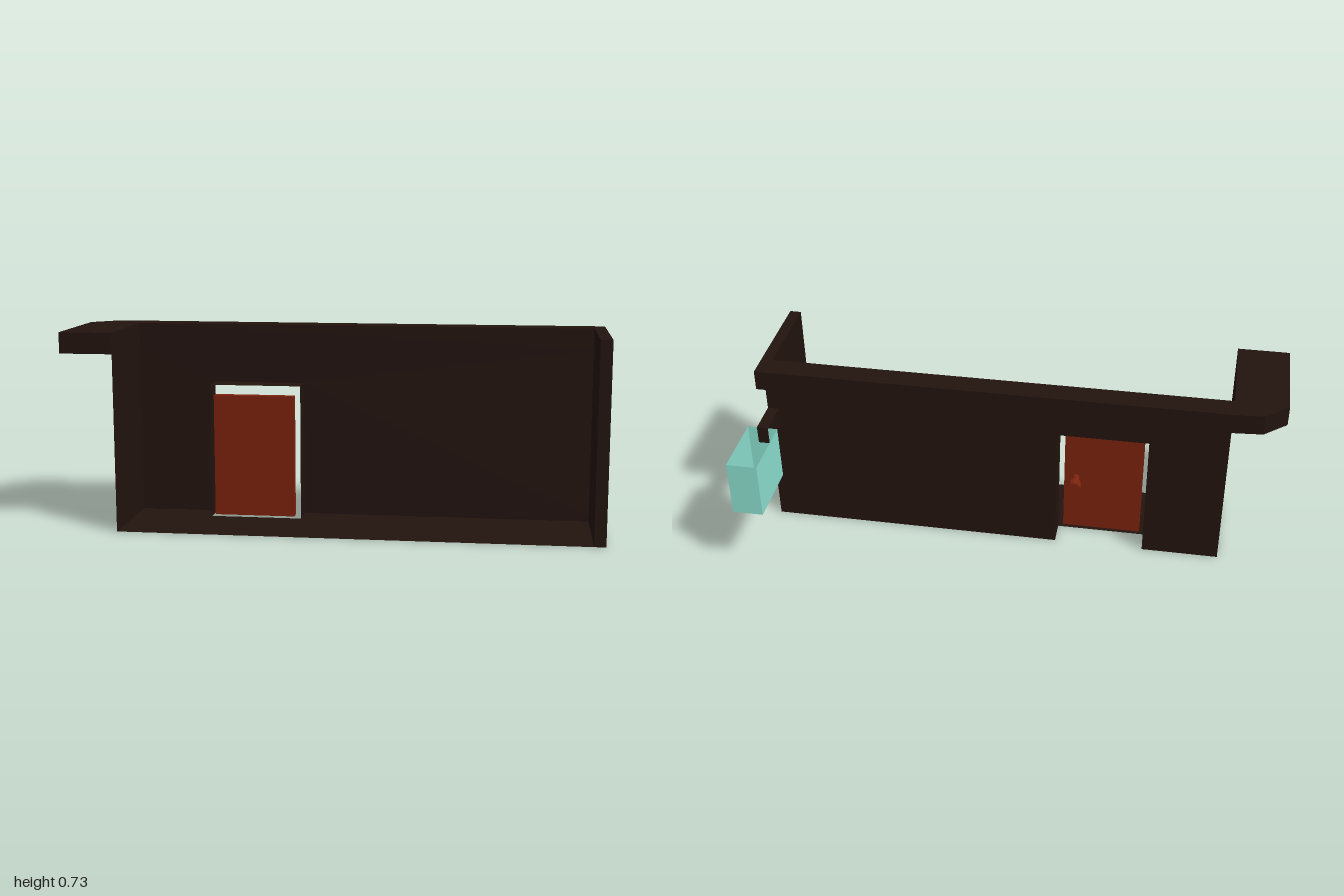
import * as THREE from 'three';

const mat = (color, side = THREE.FrontSide) => new THREE.MeshStandardMaterial({ color, side, flatShading: true });

export function createModel() {
  const root = new THREE.Group();
  root.name = 'barCounter';
  const wood = mat(0x22130e), panel = mat(0x22130e, THREE.DoubleSide);
  const doorRed = mat(0x7c220e), mint = mat(0x8ce0d0, THREE.DoubleSide);

  const add = (name, geometry, material, parent = root) => {
    const mesh = new THREE.Mesh(geometry, material);
    mesh.name = name;
    parent.add(mesh);
    return mesh;
  };
  // Box given by its limits on each axis
  const box = (name, [x0, x1], [y0, y1], [z0, z1], material, parent) => {
    const g = new THREE.BoxGeometry(x1 - x0, y1 - y0, z1 - z0);
    g.translate((x0 + x1) / 2, (y0 + y1) / 2, (z0 + z1) / 2);
    return add(name, g, material, parent);
  };
  const outline = (points) => new THREE.Shape(points.map(([x, y]) => new THREE.Vector2(x, y)));
  // Plan outlines are listed as [x, z]
  const plan = (points) => outline(points.map(([x, z]) => [x, -z]));

  const L = -0.805, R = 0.965, B = 0.008, F = 0.375; // body limits
  const dL = -0.51, dR = -0.165, dTop = 0.51, dIn = 0.1; // doorway limits
  const under = 0.655, top = 0.732;

  // Thin back wall with doorway
  const wall = new THREE.ShapeGeometry(outline([
    [L, 0], [dL, 0], [dL, dTop], [dR, dTop], [dR, 0], [R, 0], [R, under], [L, under],
  ]));
  add('backWall', wall.translate(0, 0, B), panel);

  // Floor, cut out below the doorway
  const floor = new THREE.ShapeGeometry(plan([
    [L, F], [R, F], [R, B], [dR, B], [dR, dIn], [dL, dIn], [dL, B], [L, B],
  ]));
  add('floor', floor.rotateX(-Math.PI / 2), panel);

  // End walls: thin on one side, thick on the other
  const side = new THREE.PlaneGeometry(F - B, under);
  add('rightEndWall', side.rotateY(-Math.PI / 2).translate(L, under / 2, (F + B) / 2), panel);
  box('leftEndWall', [0.922, R], [0, top], [B, F], wood);

  // Doorway lining reaching into the body
  for (const x of [dL, dR]) {
    const jamb = new THREE.PlaneGeometry(dIn - B, dTop).rotateY(Math.PI / 2);
    add('doorJamb', jamb.translate(x, dTop / 2, (dIn + B) / 2), panel);
  }
  const lintel = new THREE.PlaneGeometry(dR - dL, dIn - B).rotateX(-Math.PI / 2);
  add('doorLintel', lintel.translate((dL + dR) / 2, dTop, (dIn + B) / 2), panel);

  // L-shaped counter top with a clipped corner
  const slab = new THREE.ExtrudeGeometry(plan([
    [-1, F], [L, F], [L, B], [R, B], [R, -0.083], [-0.82, -0.083], [-0.915, -0.075], [-1, 0],
  ]), { depth: top - under, bevelEnabled: false });
  add('counterTop', slab.rotateX(-Math.PI / 2).translate(0, under, 0), wood);

  // Door with its knob
  const door = new THREE.Group();
  door.name = 'door';
  root.add(door);
  box('doorPanel', [-0.49, -0.185], [0.015, 0.475], [0.097, 0.13], doorRed, door);
  const knobPart = (name, r, z0, z1) => {
    const g = new THREE.CylinderGeometry(r, r, z1 - z0, 12).rotateX(Math.PI / 2);
    add(name, g.translate(-0.23, 0.255, (z0 + z1) / 2), doorRed, door);
  };
  knobPart('knobStem', 0.015, 0.055, 0.097);
  knobPart('knob', 0.027, 0.02, 0.055);

  // Bracket arm holding an open-topped bin
  box('binArm', [0.922, R], [0.442, 0.511], [-0.127, B], wood);
  const [x0, x1, y0, y1, z0, z1] = [0.885, 1, 0.295, 0.511, -0.378, -0.127];
  const bin = box('bin', [x0, x1], [y0, y1], [z0, z1], mint);
  const index = Array.from(bin.geometry.index.array);
  index.splice(12, 6); // drop the lid face
  bin.geometry.setIndex(index);
  bin.geometry.clearGroups();

  return root;
}
